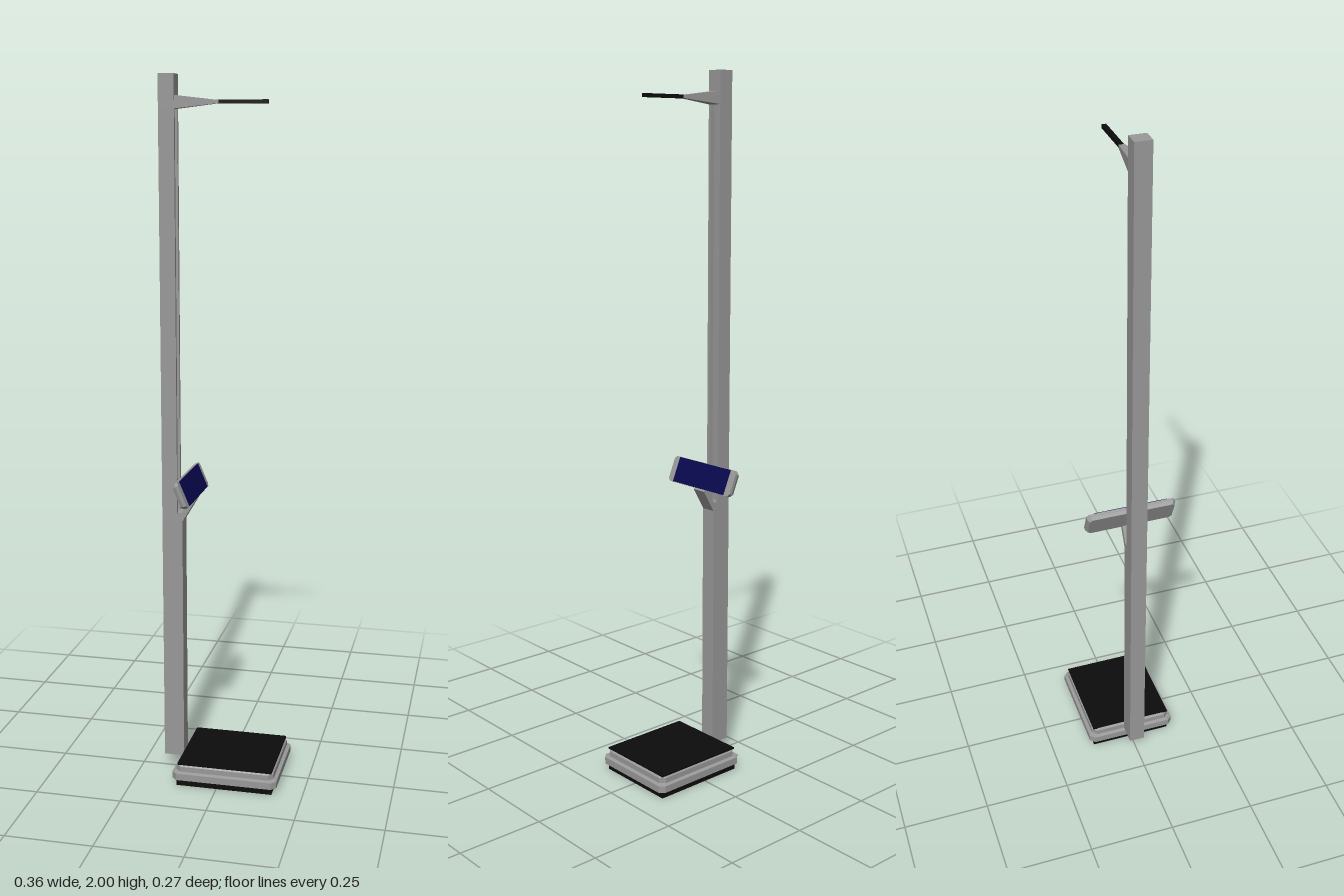
import * as THREE from 'three';

const mat = (name, color, flat = true) => {
  const m = new THREE.MeshStandardMaterial({ color });
  m.name = name;
  m.flatShading = flat;
  return m;
};

// Closed solid through matching rings of points (counter-clockwise seen from the last ring)
function loft(rings) {
  const n = rings[0].length, pos = [], idx = [];
  rings.forEach(r => r.forEach(p => pos.push(...p)));
  for (let k = 0; k < rings.length - 1; k++) {
    for (let i = 0; i < n; i++) {
      const a = k * n + i, b = k * n + (i + 1) % n;
      idx.push(a, b, b + n, a, b + n, a + n);
    }
  }
  const last = (rings.length - 1) * n;
  for (let i = 1; i < n - 1; i++) {
    idx.push(0, i + 1, i);
    idx.push(last, last + i, last + i + 1);
  }
  const g = new THREE.BufferGeometry();
  g.setAttribute('position', new THREE.Float32BufferAttribute(pos, 3));
  g.setIndex(idx);
  const flat = g.toNonIndexed();
  flat.computeVertexNormals();
  return flat;
}

// Rectangle with cut corners at height y, running from +x towards -z
function cutRect(hx, hz, c, y) {
  return [[hx, hz - c], [hx, c - hz], [hx - c, -hz], [c - hx, -hz],
    [-hx, c - hz], [-hx, hz - c], [c - hx, hz], [hx - c, hz]].map(([x, z]) => [x, y, z]);
}

// Rectangle in a plane of constant x, ordered to face +x
const rectX = (x, y, hy, hz) =>
  [[x, y - hy, hz], [x, y - hy, -hz], [x, y + hy, -hz], [x, y + hy, hz]];

export function createModel() {
  const model = new THREE.Group();
  const gray = mat('gray metal', 0x999999);
  const black = mat('black rubber', 0x0c0c0c);
  const navy = mat('navy screen', 0x08084f);

  const add = (name, geometry, material, parent = model) => {
    const mesh = new THREE.Mesh(geometry, material);
    mesh.name = name;
    parent.add(mesh);
    return mesh;
  };
  const box = (name, x0, x1, y0, y1, hz, material) => {
    const mesh = add(name, new THREE.BoxGeometry(x1 - x0, y1 - y0, hz * 2), material);
    mesh.position.set((x0 + x1) / 2, (y0 + y1) / 2, 0);
    return mesh;
  };

  // Weighing platform: stepped slab, standing tread and underside pad
  const tiers = [[0.018, 0.012], [0.022, 0], [0.042, 0], [0.045, 0.01], [0.06, 0.01], [0.067, 0.016]];
  add('platform', loft(tiers.map(([y, s]) => cutRect(0.153 - s, 0.135 - s, 0.014, y))), gray)
    .position.x = 0.023;
  box('treadMat', -0.115, 0.162, 0.064, 0.069, 0.122, black);
  box('undersidePad', -0.118, 0.162, 0, 0.02, 0.122, black);

  // Column: thick lower post, grooved upper rail and solid head
  box('lowerColumn', -0.179, -0.12, 0.045, 0.775, 0.023, gray);
  const section = new THREE.Shape([
    [-0.179, -0.023], [-0.135, -0.023], [-0.135, -0.014], [-0.148, -0.014],
    [-0.148, 0.014], [-0.135, 0.014], [-0.135, 0.023], [-0.179, 0.023],
  ].map(([x, z]) => new THREE.Vector2(x, z)));
  const rail = add('grooveRail', new THREE.ExtrudeGeometry(section, { depth: 1.135, bevelEnabled: false }), gray);
  rail.rotation.x = -Math.PI / 2;
  rail.position.y = 0.775;
  box('columnHead', -0.179, -0.135, 1.91, 2, 0.023, gray);

  // Height arm: tapered bracket with a thin head rod
  add('armBracket', loft([rectX(-0.14, 1.927, 0.018, 0.0225), rectX(-0.017, 1.927, 0.004, 0.007)]), gray);
  box('headRod', -0.02, 0.117, 1.922, 1.932, 0.006, black);

  // Display bracket
  const arm = new THREE.Shape([
    [-0.145, 0.765], [-0.12, 0.768], [-0.082, 0.832], [-0.096, 0.84], [-0.122, 0.793], [-0.145, 0.793],
  ].map(([x, y]) => new THREE.Vector2(x, y)));
  add('displayBracket', new THREE.ExtrudeGeometry(arm, { depth: 0.044, bevelEnabled: false }), gray)
    .position.z = -0.022;

  // Tilted display: the local y axis is the facing direction
  const display = new THREE.Group();
  display.name = 'display';
  display.position.set(-0.101, 0.87, 0);
  display.rotation.z = -Math.PI / 2 + 0.4;
  model.add(display);
  add('displayCase', loft([
    cutRect(0.035, 0.125, 0.008, -0.01),
    cutRect(0.038, 0.13, 0.008, 0),
    cutRect(0.038, 0.13, 0.008, 0.009),
  ]), gray, display);
  add('displayScreen', new THREE.BoxGeometry(0.074, 0.004, 0.214), navy, display).position.y = 0.009;

  return model;
}
